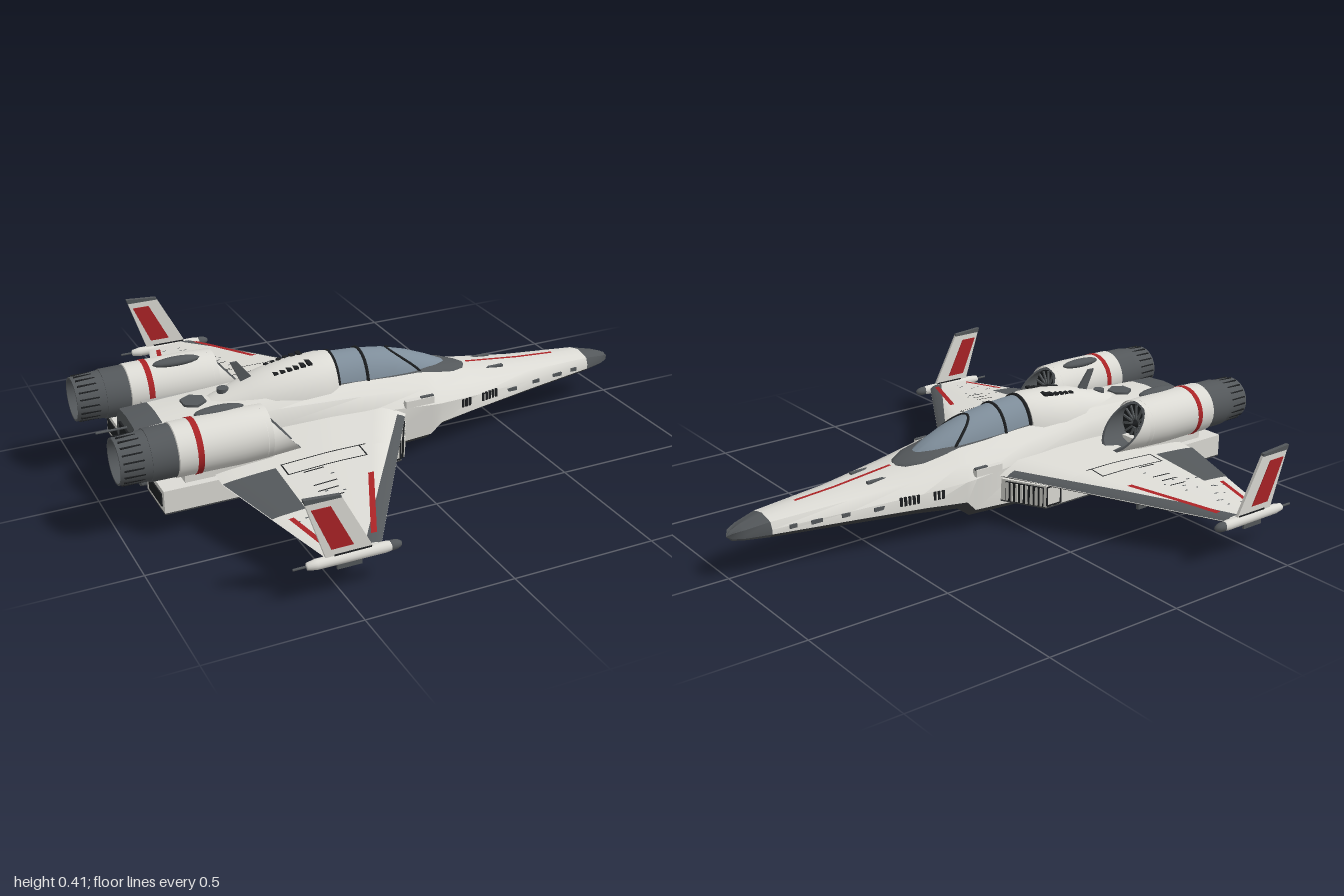
import * as THREE from 'three';
import { toCreasedNormals } from 'three/addons/utils/BufferGeometryUtils.js';

const paint = (name, color) => new THREE.MeshStandardMaterial({ name, color, side: THREE.DoubleSide });
const hull = paint('hull white', 0xdcdbd5), grey = paint('panel grey', 0xa9a9a6), dark = paint('dark grey', 0x54585b);
const belly = paint('underside grey', 0x414345), black = paint('black', 0x1d1f21);
const red = paint('stripe red', 0xab2326), glass = paint('canopy glass', 0x7f8e9b);

const add = (parent, name, geometry, material, x = 0, y = 0, z = 0) => {
  const m = new THREE.Mesh(geometry, material);
  m.name = name;
  m.position.set(x, y, z);
  parent.add(m);
  return m;
};
const box = (p, name, mat, w, h, d, x, y, z) => add(p, name, new THREE.BoxGeometry(w, h, d), mat, x, y, z);

// Skin over a grid of points: rows[i][j] = [x, y, z]
function skin(rows, crease = 0.6) {
  const n = rows[0].length, index = [];
  for (let i = 0; i < rows.length - 1; i++) for (let j = 0; j < n - 1; j++) {
    const a = i * n + j, b = a + n;
    index.push(a, a + 1, b, a + 1, b + 1, b);
  }
  const g = new THREE.BufferGeometry();
  g.setAttribute('position', new THREE.Float32BufferAttribute(rows.flat(2), 3));
  g.setIndex(index);
  return toCreasedNormals(g, crease);
}
const closeTo = (row, x) => row.map(() => [x, (Math.min(...row.map(p => p[1])) + Math.max(...row.map(p => p[1]))) / 2, 0]);

// Flat plate cut from an outline in x and y, thickness along z
function plate(points, t) {
  const g = new THREE.ExtrudeGeometry(new THREE.Shape(points.map(p => new THREE.Vector2(...p))), { depth: t, bevelEnabled: false });
  return g.translate(0, 0, -t / 2);
}

// Fuselage stations: x, top y/w, chine y/w, lower edge y/w, bottom y/w
const stations = [
  [0.985, .158, .008, .147, .018, .14, .018, .132, .01],
  [0.95, .172, .018, .15, .04, .141, .04, .13, .026],
  [0.87, .19, .03, .16, .066, .143, .066, .126, .046],
  [0.6, .209, .046, .166, .106, .135, .11, .108, .075],
  [0.35, .237, .07, .18, .155, .13, .16, .09, .10],
  [0.19, .268, .085, .19, .18, .118, .182, .078, .13],
  [0.15, .274, .087, .194, .184, .078, .176, .045, .135],
  [-0.1, .29, .09, .208, .17, .058, .168, .035, .14],
  [-0.4, .30, .09, .22, .142, .066, .152, .05, .13],
  [-0.86, .28, .085, .2, .132, .1, .132, .088, .115],
];
function upper([x, ty, tw, cy, cw, ly, lw]) {
  const half = [[ly, lw], [cy, cw], [(ty + cy) / 2 + .008, (tw + cw) / 2 + .008], [ty, tw]];
  return [...half.map(([y, w]) => [x, y, w]), [x, ty + .006, 0], ...half.reverse().map(([y, w]) => [x, y, -w])];
}
const lower = ([x, , , , , ly, lw, by, bw]) => [[x, ly, lw], [x, by, bw], [x, by, -bw], [x, ly, -lw]];
const lerp = THREE.MathUtils.lerp;
function sample(table, x) {
  let i = 1;
  while (i < table.length - 1 && table[i][0] > x) i++;
  const a = table[i - 1], b = table[i], t = (a[0] - x) / (a[0] - b[0]);
  return a.map((v, k) => lerp(v, b[k], t));
}

// Rounded arches: x, top y, half width
const canopy = [[.315, .245, .012], [.28, .272, .042], [.22, .30, .065], [.14, .332, .08], [.05, .358, .087], [-.05, .373, .09], [-.165, .38, .09]];
const frame = [[.365, .244, .015], [.345, .252, .045], [.29, .268, .075], [.2, .285, .09], [.05, .3, .099], [-.17, .314, .104]];
const spine = [[-.165, .384, .1], [-.2, .386, .113], [-.3, .38, .117], [-.4, .364, .11], [-.47, .342, .095], [-.6, .3, .06]];
const arch = (x, top, w, power = .75, base = .22) => Array.from({ length: 17 }, (_, i) => {
  const a = Math.PI * i / 16;
  return [x, base + (top - base) * Math.pow(Math.max(0, Math.sin(a)), power), w * Math.cos(a)];
});

function fuselage(root) {
  const g = new THREE.Group();
  g.name = 'fuselage';
  root.add(g);
  const body = stations.slice(2), nose = stations.slice(0, 3), u = nose.map(upper), l = nose.map(lower);
  add(g, 'upperHull', skin(body.map(upper)), hull);
  add(g, 'lowerHull', skin(body.map(lower)), belly);
  add(g, 'noseConeTop', skin([u[0].map(() => [1, .146, 0]), ...u]), dark);
  add(g, 'noseConeBottom', skin([l[0].map(() => [1, .146, 0]), ...l]), dark);
  // Dark collar closing the tail
  const collar = [-.79, -.885].map(x => {
    const s = sample(stations, Math.max(x, -.86)), ring = [...upper(s), ...lower(s).reverse()];
    return ring.map(([, y, z]) => [x, .19 + (y - .19) * 1.03, z * .93 * 1.03]);
  });
  add(g, 'tailCollar', skin([...collar, closeTo(collar[1], -.885)]), dark);
  box(g, 'tailExhaust', black, .008, .08, .15, -.888, .2, 0);
  const rod = add(g, 'tailProbe', new THREE.CylinderGeometry(.004, .004, .11, 8), dark, -.935, .25, 0);
  rod.rotation.z = Math.PI / 2;
  // Canopy, surround and spine
  add(g, 'canopySurround', skin(frame.map(([x, t, w]) => arch(x, t, w, .4))), dark);
  add(g, 'canopyGlass', skin(canopy.map(s => arch(...s)), 1), glass);
  const hump = spine.map(s => arch(...s));
  add(g, 'spine', skin([closeTo(hump[0], -.165), ...hump]), hull);
  const rib = (name, x0, sweep, r) => {
    const pts = Array.from({ length: 17 }, (_, i) => {
      const x = x0 + sweep * Math.cos(Math.PI * i / 16) ** 2, [, t, w] = sample(canopy, x);
      return new THREE.Vector3(...arch(x, t, w)[i]);
    });
    add(g, name, new THREE.TubeGeometry(new THREE.CatmullRomCurve3(pts), 32, r, 6), black);
  };
  rib('canopyBow', .06, .12, .005);
  rib('canopyRib', -.05, 0, .006);
  rib('canopyRearRib', -.16, 0, .007);
  // Markings and fittings on the back
  for (let i = 0; i < 6; i++) box(g, 'spineGrille', black, .016, .008, .12 - .004 * i, -.255 - i * .024, .376 - i * .0036, 0);
  add(g, 'deckHatch', new THREE.CylinderGeometry(.045, .045, .009, 6), dark, -.655, .297, 0);
  add(g, 'deckPort', new THREE.CylinderGeometry(.02, .02, .03, 16), dark, -.55, .31, 0);
  const stripe = [.38, .5, .6, .75].map(x => [-.006, .006].map(z => [x, sample(stations, x)[1] + .009, z]));
  add(g, 'noseStripe', skin(stripe), red);
  add(g, 'dorsalFin', plate([[-.52, .41], [-.495, .41], [-.41, .3], [-.47, .3]], .008), dark);
  add(g, 'ventralFin', plate([[-.52, 0], [-.5, 0], [-.44, .08], [-.49, .08]], .008), dark);
  // Side vents and small panels
  for (const s of [1, -1]) {
    for (const x of [.28, .295, .31, .37, .385, .4, .415, .43])
      box(g, 'sideVent', black, .009, .03, .008, x, .166, s * (sample(stations, x)[4] + .001));
    for (const [x, w] of [[.5, .05], [.62, .03], [.72, .04], [.8, .025]])
      box(g, 'sidePanel', dark, w, .013, .006, x, .158, s * (sample(stations, x)[4] + .001));
    box(g, 'shoulderBlister', hull, .11, .025, .02, .1, .215, s * .178);
    box(g, 'shoulderVent', dark, .05, .008, .012, .13, .228, s * .178);
    box(g, 'deckPanel', dark, .07, .008, .014, .47, .224, s * .052);
  }
}

// Wing planform and thickness
const LE = z => .04 - .63 * (z - .19), TE = z => z < .36 ? -.69 : -.69 + (z - .36) * .29;
function wingY(x, z, side) {
  const u = (LE(z) - x) / (LE(z) - TE(z)), t = (z - .17) / .67;
  const p = Math.pow(Math.max(0, Math.min(1, u / .12, (1 - u) / .6)), .7);
  return lerp(.18, .132, t) + side * lerp(.034, .01, t) * p;
}
// Skin patch following the wing between four x,z corners
function patch(g, name, [a, b, c, d], mat, lift = .003, side = 1, nu = 6, nv = 4) {
  const rows = [];
  for (let i = 0; i <= nv; i++) rows.push(Array.from({ length: nu + 1 }, (_, j) => {
    const v = i / nv, u = j / nu;
    const x = lerp(lerp(a[0], d[0], v), lerp(b[0], c[0], v), u), z = lerp(lerp(a[1], d[1], v), lerp(b[1], c[1], v), u);
    return [x, wingY(x, z, side) + side * lift, z];
  }));
  add(g, name, skin(rows), mat);
}
const rect = (x0, x1, z0, z1) => [[x1, z0], [x0, z0], [x0, z1], [x1, z1]];

function wing(g) {
  for (const [z0, z1] of [[.1, .36], [.36, .845]]) {
    const q = [[LE(z0), z0], [TE(z0 + 1e-6), z0], [TE(z1), z1], [LE(z1), z1]];
    patch(g, 'wingTop', q, hull, 0, 1, 24, 6);
    patch(g, 'wingBottom', q, belly, 0, -1, 24, 6);
  }
  patch(g, 'leadingEdge', [[LE(.2), .2], [LE(.2) - .03, .2], [LE(.84) - .055, .84], [LE(.84), .84]], dark, .002, 1, 8);
  patch(g, 'flap', [[-.51, .36], [TE(.36), .36], [TE(.6), .6], [-.51, .6]], dark);
  patch(g, 'wingStripe', [[-.235, .51], [-.255, .51], [-.385, .8], [-.365, .8]], red, .005);
  patch(g, 'wingStripe', [[-.56, .625], [-.577, .625], [-.535, .805], [-.518, .805]], red);
  // Access panel outline and seams
  for (const [x0, x1, z0, z1] of [[-.49, -.19, .35, .354], [-.49, -.21, .41, .414], [-.49, -.485, .35, .414], [-.215, -.21, .35, .414],
    [-.44, -.37, .42, .425], [-.44, -.36, .5, .505], [-.44, -.37, .535, .54], [-.44, -.37, .575, .58]])
    patch(g, 'panelSeam', rect(x0, x1, z0, z1), black);
  let seed = 7;
  const rnd = () => (seed = (seed * 16807) % 2147483647) / 2147483647;
  for (let i = 0; i < 22; i++) {
    const z = .44 + rnd() * .36, x = lerp(LE(z) - .12, TE(z) + .04, rnd()), w = .006 + rnd() * .012;
    patch(g, 'wearMark', rect(x - w, x, z, z + .005), dark, .002, 1, 1, 1);
  }
  // Weapon rails under the wing
  for (const [z, len, h] of [[.41, .16, .02], [.525, .2, .045], [.63, .12, .018], [.71, .1, .018]]) {
    const x = LE(z) - .2, y = wingY(x, z, -1);
    box(g, 'pylon', dark, len, h, .012, x, y - h / 2 + .004, z);
  }
  // Wing tip pod and winglet
  const pod = [[0, -.155], [.012, -.15], [.017, -.12], [.018, .1], [.013, .14], [0, .155]].map(p => new THREE.Vector2(...p));
  add(g, 'tipPod', new THREE.LatheGeometry(pod, 16), hull, -.465, .127, .852).rotation.z = -Math.PI / 2;
  add(g, 'podNose', new THREE.SphereGeometry(.0165, 12, 8).scale(2, 1, 1), dark, -.34, .127, .852);
  add(g, 'podSpike', new THREE.CylinderGeometry(.004, .004, .08, 6), dark, -.62, .127, .852).rotation.z = Math.PI / 2;
  box(g, 'podPanel', black, .12, .006, .014, -.47, .145, .852);
  box(g, 'podKeel', dark, .08, .03, .008, -.48, .108, .852);
  add(g, 'winglet', plate([[-.62, .335], [-.505, .335], [-.4, .135], [-.555, .135]], .01), hull, 0, 0, .852);
  add(g, 'wingletPanel', plate([[-.602, .312], [-.54, .312], [-.468, .168], [-.54, .168]], .015), red, 0, 0, .852);
  add(g, 'wingletCap', plate([[-.625, .35], [-.508, .342], [-.505, .333], [-.62, .333]], .014), dark, 0, 0, .852);
}

function intakeBox(g) {
  // Plan outline extruded upward
  const plan = [[.045, .165], [-.04, .32], [-.87, .32], [-.87, .14], [-.2, .12]];
  const slab = (y0, y1) => plate(plan.map(([x, z]) => [x, -z]), y1 - y0).rotateX(-Math.PI / 2).translate(0, (y0 + y1) / 2, 0);
  add(g, 'intakeBody', slab(.088, .166), hull);
  add(g, 'intakeFloor', slab(.083, .088), belly);
  const mouth = new THREE.Group();
  mouth.name = 'intakeMouth';
  mouth.position.set(-.002, .126, .252);
  mouth.rotation.y = -Math.atan2(.085, .155);
  g.add(mouth);
  box(mouth, 'intakeOpening', black, .006, .07, .14, .004, 0, 0);
  for (let i = 0; i < 8; i++) box(mouth, 'intakeSlat', hull, .006, .066, .009, .007, 0, -.063 + i * .018);
  for (const [x, w, y, h] of [[-.04, .006, .126, .07], [-.1, .006, .126, .07], [-.07, .06, .16, .005], [-.07, .06, .092, .005]])
    box(g, 'intakeFrame', black, w, h, .006, x - .004, y, .319);
  box(g, 'rearExhaust', black, .006, .045, .13, -.871, .127, .235);
}

function engine(g) {
  const e = new THREE.Group();
  e.name = 'engine';
  e.position.set(0, .268, .248);
  g.add(e);
  const lathe = (name, mat, pts) => add(e, name, toCreasedNormals(
    new THREE.LatheGeometry(pts.map(([x, r]) => new THREE.Vector2(r, x)), 32), .5), mat).rotation.z = -Math.PI / 2;
  lathe('nozzle', dark, [[-.9, .06], [-1, .07], [-1, .076], [-.9, .083], [-.9, .086], [-.815, .087]]);
  lathe('nozzleCore', black, [[-.93, 0], [-.93, .064]]);
  lathe('cowling', hull, [[-.82, .084], [-.815, .09], [-.6, .092], [-.5, .088]]);
  lathe('cowlingStripe', red, [[-.756, .0915], [-.756, .0925], [-.736, .0925], [-.736, .0915]]);
  for (let i = 0; i < 20; i++) {
    const a = i / 20 * Math.PI * 2;
    box(e, 'nozzleRib', black, .085, .005, .005, -.947, .0785 * Math.cos(a), .0785 * Math.sin(a)).rotation.x = a;
  }
  // Raked mouth: the lower lip reaches further forward
  const ring = (r, lip) => Array.from({ length: 33 }, (_, i) => {
    const a = i / 32 * Math.PI * 2, y = r * Math.cos(a);
    return [lip ? -.45 - y * .85 : -.52, y, r * Math.sin(a)];
  });
  add(e, 'mouthShell', skin([ring(.089, false), ring(.081, true)]), hull);
  add(e, 'mouthLining', skin([ring(.081, true), ring(.072, true), ring(.072, false)]), dark);
  lathe('fanDisc', black, [[-.515, .074], [-.515, .016], [-.49, 0]]);
  for (let i = 0; i < 14; i++) {
    const a = i / 14 * Math.PI * 2;
    box(e, 'fanBlade', dark, .006, .052, .007, -.511, .042 * Math.cos(a), .042 * Math.sin(a)).rotation.x = a;
  }
  add(e, 'cowlingBlister', new THREE.SphereGeometry(1, 16, 10).scale(.085, .016, .024), dark, -.64, .086, -.035);
  box(e, 'engineMount', hull, .3, .06, .09, -.64, -.08, 0);
  box(e, 'engineBrace', grey, .26, .05, .1, -.66, -.035, -.1);
}

export function createModel() {
  const root = new THREE.Group();
  root.name = 'starfighter';
  fuselage(root);
  const left = new THREE.Group();
  left.name = 'leftSide';
  wing(left);
  intakeBox(left);
  engine(left);
  const right = left.clone();
  right.name = 'rightSide';
  right.scale.z = -1;
  root.add(left, right);
  return root;
}
